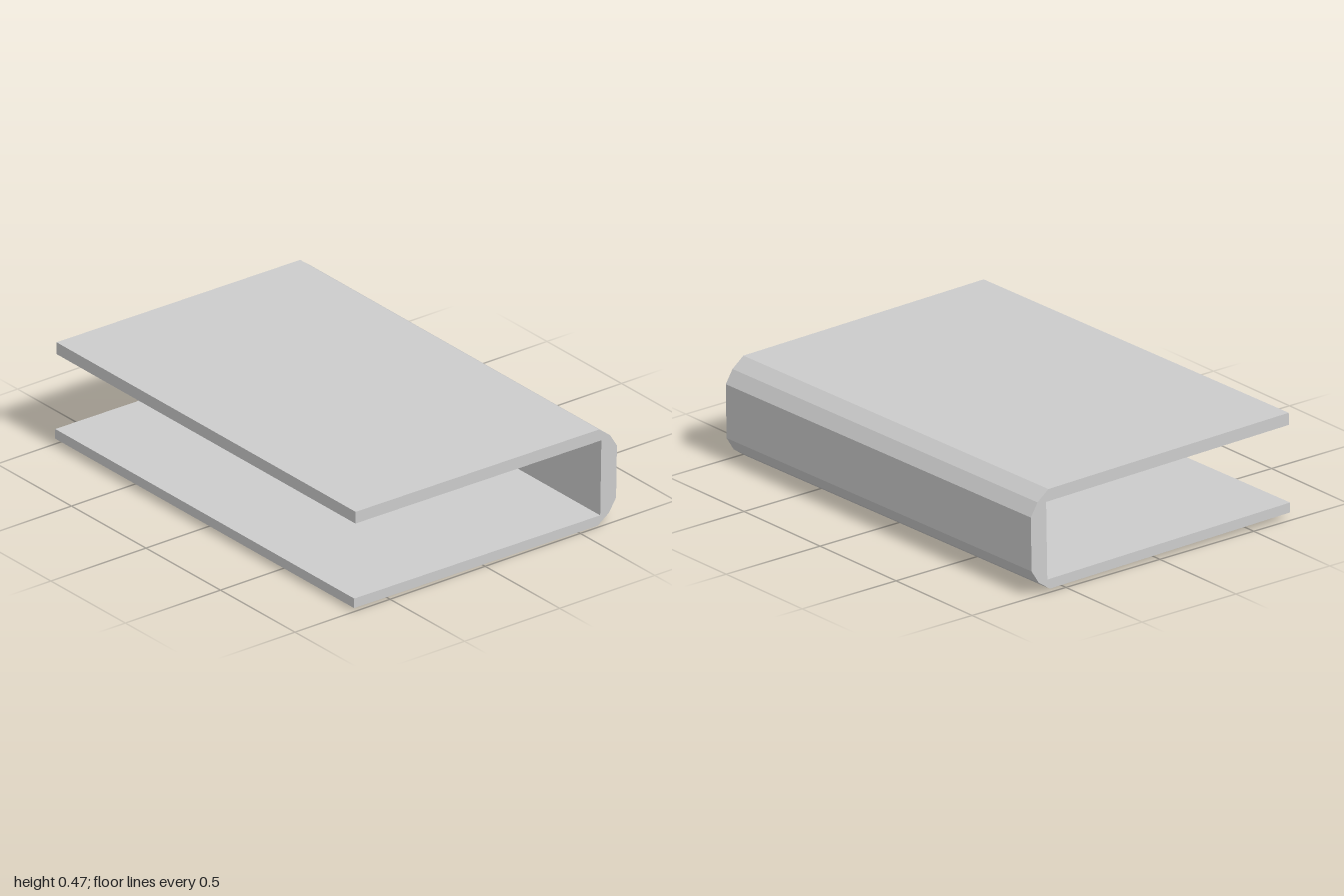
import * as THREE from 'three';

export function createModel() {
  const group = new THREE.Group();
  group.name = 'hollowBookCover';
  const length = 1.988;

  // C-shaped section: two flat boards joined by a faceted spine
  const section = new THREE.Shape([
    [-0.692, -0.222], [0.596, -0.222], [0.655, -0.18], [0.692, -0.12],
    [0.692, 0.12], [0.655, 0.178], [0.596, 0.222], [-0.692, 0.222],
    [-0.692, 0.168], [0.609, 0.168], [0.609, -0.178], [-0.692, -0.178],
  ].map(([x, y]) => new THREE.Vector2(x, y)));

  const geometry = new THREE.ExtrudeGeometry(section, { depth: length, bevelEnabled: false });
  geometry.translate(0, 0, -length / 2);

  const cover = new THREE.Mesh(
    geometry,
    new THREE.MeshStandardMaterial({ color: 0xcccccc, flatShading: true }),
  );
  cover.name = 'boardsAndSpine';
  // The cover lies very slightly askew
  cover.rotation.set(0.008, 0.0075, -0.0116);
  cover.position.y = 0.237;
  group.add(cover);
  return group;
}
